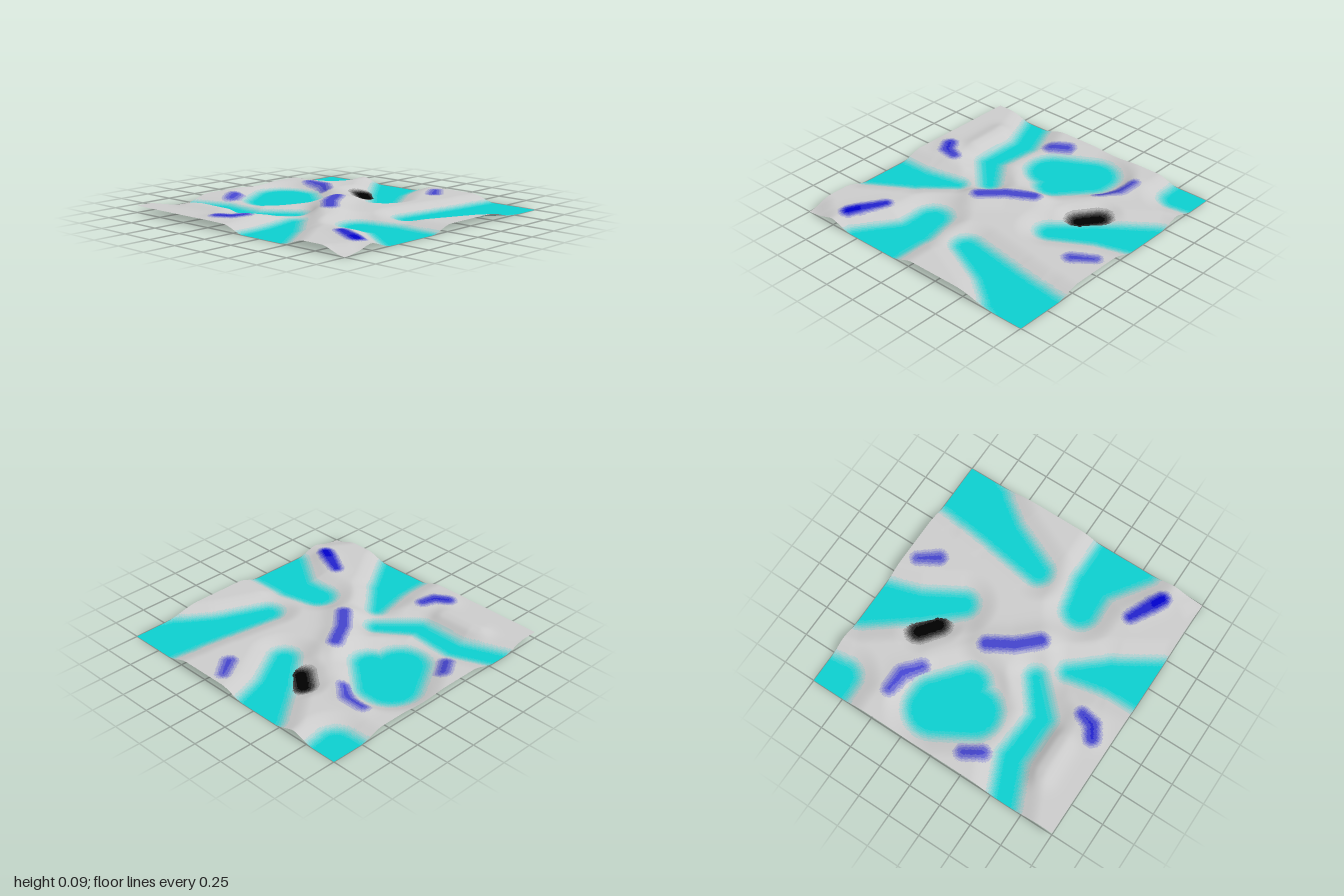
import * as THREE from 'three';

const GREY = new THREE.Color(0xcccccc);
const PLATEAU = 0.05, CELLS = 160, BANDS = 6;

// Each path is a list of [x, z, radius] points.
const basins = [
  [[-0.63, -1.05, 0.07], [-0.48, -0.7, 0.07], [-0.5, -0.35, 0.06], [-0.3, -0.12, 0.04]],
  [[-0.07, -0.57, 0.17], [0.17, -0.7, 0.18]],
  [[0.06, -0.42, 0.11], [0.2, -0.65, 0.15]],
  [[0.87, -1.05, 0.13], [0.85, -0.87, 0.1], [1.05, -0.93, 0.13]],
  [[0.44, 0.06, 0.07], [0.7, -0.13, 0.1], [1.05, -0.31, 0.17]],
  [[-1.05, 0.27, 0.2], [-0.75, 0.18, 0.11], [-0.47, 0.04, 0.03]],
  [[-0.29, 0.48, 0.1], [-0.26, 0.7, 0.12], [-0.36, 1.03, 0.23]],
  [[0.13, 0.57, 0.07], [0.5, 0.68, 0.12], [0.8, 0.8, 0.2], [1.05, 0.87, 0.24]],
];
const pit = [[0.5, -0.17, 0.03], [0.59, -0.29, 0.03]];
const sunkenCorner = [[-1.04, 1.04, 0.05], [-0.95, 1.08, 0.03]];

// Crests: path, extra height, spread of the rise, strength of the tint.
const crests = [
  { path: [[-0.19, 0.11, 0.03], [-0.05, -0.02, 0.03], [0.12, -0.12, 0.03]], rise: 0.035, spread: 0.14, tint: 0.68 },
  { path: [[-0.87, -0.29, 0.03], [-0.82, -0.21, 0.03], [-0.72, -0.18, 0.02]], rise: 0.012, spread: 0.1, tint: 0.75 },
  { path: [[-0.29, -0.79, 0.03], [-0.18, -0.86, 0.03]], rise: 0, spread: 0.1, tint: 0.6 },
  { path: [[0.51, -0.77, 0.02], [0.5, -0.62, 0.03], [0.41, -0.5, 0.02]], rise: 0.008, spread: 0.1, tint: 0.6 },
  { path: [[0.78, 0.25, 0.03], [0.91, 0.16, 0.02]], rise: 0, spread: 0.1, tint: 0.6 },
  { path: [[-0.62, 0.62, 0.02], [-0.71, 0.8, 0.035]], rise: 0.006, spread: 0.1, tint: 0.85 },
  { path: [[-0.71, 0.8, 0.03], [-0.74, 0.86, 0.03]], rise: 0.004, spread: 0.08, tint: 1 },
  { path: [[-0.71, -0.7, 0.02], [-0.7, -0.42, 0.02]], rise: 0.026, spread: 0.12, tint: 0 },
];

const smooth = (v, a, b) => THREE.MathUtils.smoothstep(v, a, b);

// Distance from a point to a path whose radius varies along it.
function distance(path, x, z) {
  let best = Infinity;
  for (let i = 1; i < path.length; i++) {
    const [ax, az, ar] = path[i - 1], [bx, bz, br] = path[i];
    const dx = bx - ax, dz = bz - az;
    const t = THREE.MathUtils.clamp(((x - ax) * dx + (z - az) * dz) / (dx * dx + dz * dz), 0, 1);
    best = Math.min(best, Math.hypot(x - ax - t * dx, z - az - t * dz) - ar - t * (br - ar));
  }
  return best;
}

const basinDistance = (x, z) => Math.min(...basins.map((p) => distance(p, x, z)));

function height(x, z) {
  // A product of the banks blends neighbouring basins smoothly.
  let y = PLATEAU;
  for (const p of basins) y *= smooth(distance(p, x, z), -0.02, 0.19);
  y *= smooth(distance(sunkenCorner, x, z), 0, 0.2);
  for (const c of crests) {
    const d = Math.max(0, distance(c.path, x, z)) / c.spread;
    y += c.rise * Math.exp(-d * d * 2) * smooth(basinDistance(x, z), 0, 0.12);
  }
  return y * (0.1 + 0.9 * smooth(distance(pit, x, z), -0.02, 0.16));
}

// Strength of each tint at a point.
const tints = {
  basin: { color: new THREE.Color(0x0ccfcf), weight: (x, z) => 1 - smooth(basinDistance(x, z), -0.04, 0.09) },
  crest: {
    color: new THREE.Color(0x0000cc),
    weight: (x, z) => Math.max(...crests.map((c) => c.tint * (1 - smooth(distance(c.path, x, z), -0.02, 0.06)))),
  },
  pit: { color: new THREE.Color(0x000000), weight: (x, z) => 1 - smooth(distance(pit, x, z), -0.01, 0.1) },
};

export function createModel() {
  const group = new THREE.Group();
  group.name = 'terrain';

  // Whole rolling sheet, with smooth normals
  const sheet = new THREE.PlaneGeometry(2, 2, CELLS, CELLS).rotateX(-Math.PI / 2);
  const pos = sheet.attributes.position;
  for (let i = 0; i < pos.count; i++) pos.setY(i, height(pos.getX(i), pos.getZ(i)));
  sheet.computeVertexNormals();

  // Sort the triangles into bands of tint
  const bands = new Map();
  const index = sheet.index.array;
  for (let i = 0; i < index.length; i += 3) {
    const tri = [index[i], index[i + 1], index[i + 2]];
    const x = tri.reduce((s, v) => s + pos.getX(v), 0) / 3;
    const z = tri.reduce((s, v) => s + pos.getZ(v), 0) / 3;
    let name = 'ground', level = 0;
    for (const key in tints) {
      const l = Math.round(tints[key].weight(x, z) * BANDS);
      if (l > level) [name, level] = [key, l];
    }
    const id = name + (level || '');
    if (!bands.has(id)) bands.set(id, { name, level, faces: [] });
    bands.get(id).faces.push(...tri);
  }

  // One mesh per band, fading from grey to the full tint
  for (const [id, { name, level, faces }] of bands) {
    const part = new THREE.BufferGeometry();
    part.setAttribute('position', pos);
    part.setAttribute('normal', sheet.attributes.normal);
    part.setIndex(faces);
    const color = GREY.clone();
    if (level) {
      // Fade in display values so the steps look even
      const a = GREY.getRGB({}, THREE.SRGBColorSpace);
      const b = tints[name].color.getRGB({}, THREE.SRGBColorSpace);
      const t = level / BANDS, mix = (k) => a[k] + (b[k] - a[k]) * t;
      color.setRGB(mix('r'), mix('g'), mix('b'), THREE.SRGBColorSpace);
    }
    const mesh = new THREE.Mesh(part.toNonIndexed(), new THREE.MeshStandardMaterial({ color, side: THREE.DoubleSide }));
    mesh.name = id;
    group.add(mesh);
  }
  return group;
}
